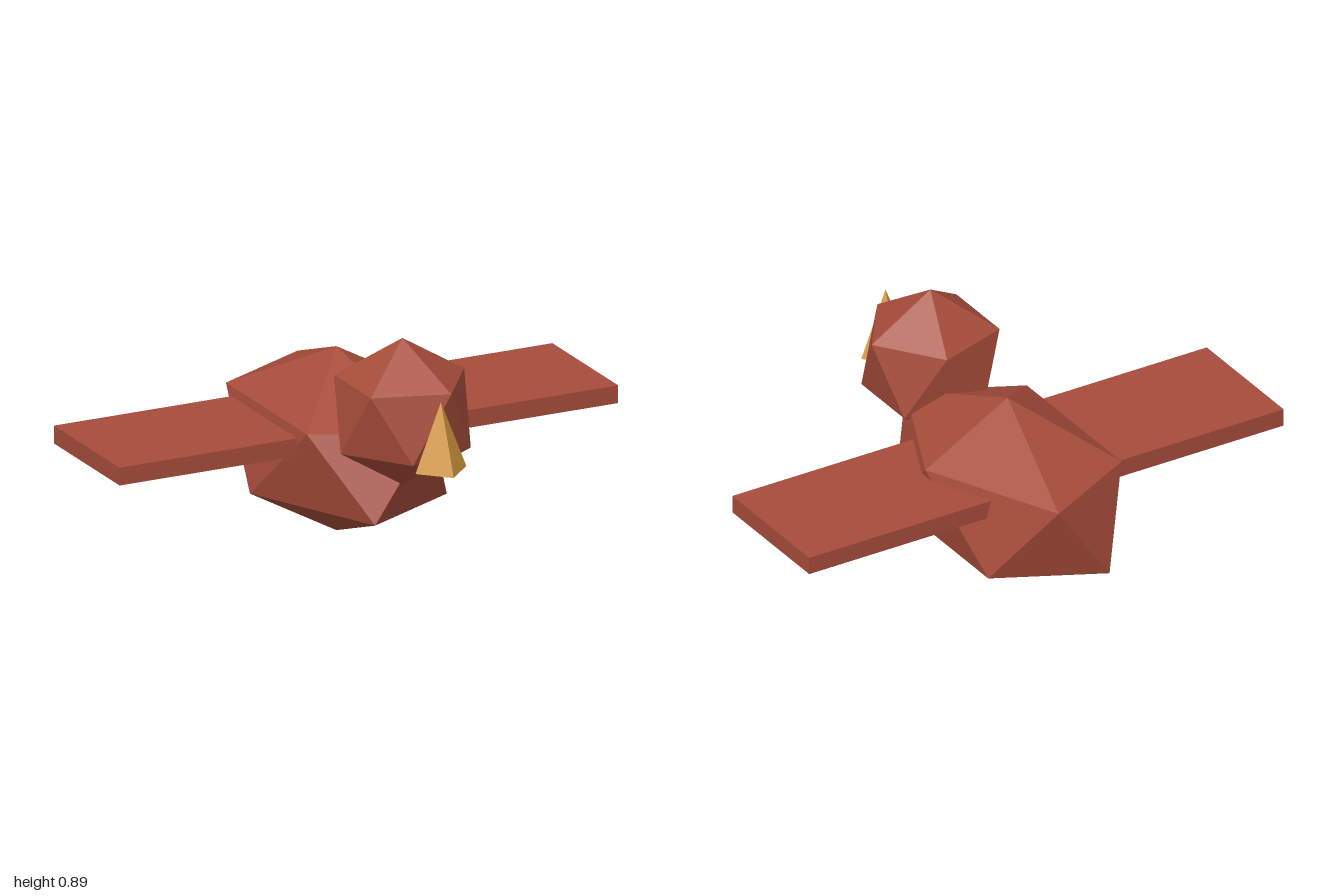
import * as THREE from 'three';
import { ConvexGeometry } from 'three/addons/geometries/ConvexGeometry.js';

// Icosahedron standing on a corner, stretched to the given radii
function gem(rx, ry, rz) {
  const points = [new THREE.Vector3(0, ry, 0), new THREE.Vector3(0, -ry, 0)];
  const h = 1 / Math.sqrt(5), r = 2 / Math.sqrt(5);
  for (let i = 0; i < 5; i++) {
    const a = (i * Math.PI * 2) / 5;
    const x = r * Math.cos(a) * rx, z = r * Math.sin(a) * rz;
    points.push(new THREE.Vector3(x, h * ry, z), new THREE.Vector3(-x, -h * ry, z));
  }
  return new ConvexGeometry(points);
}

export function createModel() {
  const model = new THREE.Group();
  model.name = 'bird';

  const feather = new THREE.MeshStandardMaterial({ color: 0xa64c3a, flatShading: true });
  feather.name = 'rust red';
  const horn = new THREE.MeshStandardMaterial({ color: 0xd4983e, flatShading: true });
  horn.name = 'golden yellow';

  const add = (name, geometry, material, x, y, z) => {
    const mesh = new THREE.Mesh(geometry, material);
    mesh.name = name;
    mesh.position.set(x, y, z);
    model.add(mesh);
  };

  // Long faceted body and round faceted head
  add('body', gem(0.388, 0.348, 0.608), feather, 0, 0.349, -0.205);
  add('head', gem(0.277, 0.277, 0.277), feather, 0, 0.611, 0.316);

  // Flat wing slab passing through the body
  add('wings', new THREE.BoxGeometry(2, 0.067, 0.52), feather, 0, 0.438, -0.208);

  // Four-sided beak, point up
  add('beak', new THREE.ConeGeometry(0.102, 0.256, 4), horn, 0, 0.61, 0.62);

  return model;
}
